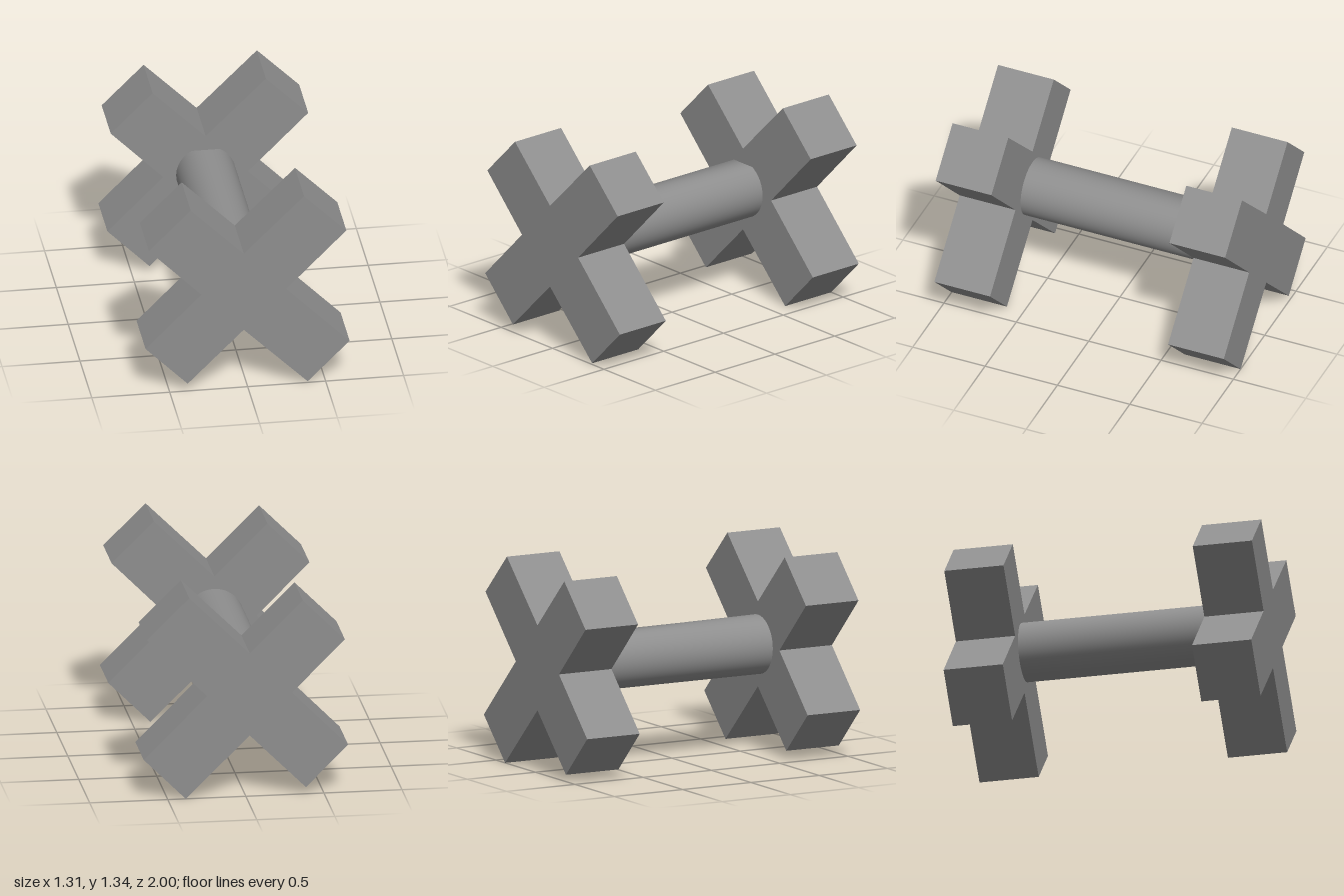
import * as THREE from 'three';

const CENTRE = [-0.024, 0.686];
const HALF_GAP = 0.615; // inner faces of the end blocks

// Cross outline, arms on the diagonals
const OUTLINE = [
  [0.362, 1.343], [-0.025, 0.96], [-0.365, 1.297], [-0.634, 1.027],
  [-0.297, 0.687], [-0.655, 0.325], [-0.385, 0.054], [-0.025, 0.413],
  [0.385, 0.01], [0.654, 0.28], [0.248, 0.686], [0.633, 1.075],
];

function crossBlock(name, z, dy, material) {
  const shape = new THREE.Shape(OUTLINE.map(([x, y]) => new THREE.Vector2(x, y)));
  const geometry = new THREE.ExtrudeGeometry(shape, { depth: 1 - HALF_GAP, bevelEnabled: false });
  const mesh = new THREE.Mesh(geometry, material);
  mesh.name = name;
  mesh.position.set(0, dy, z);
  return mesh;
}

// Round bar whose top is flattened towards the back
function connectingBar(material) {
  const geometry = new THREE.CylinderGeometry(0.19, 0.19, HALF_GAP * 2, 64, 1, true);
  geometry.rotateX(Math.PI / 2);
  geometry.translate(CENTRE[0], CENTRE[1], 0);
  const p = geometry.attributes.position;
  for (let i = 0; i < p.count; i++) {
    if (p.getZ(i) < 0) p.setY(i, Math.min(p.getY(i), 0.853));
  }
  const mesh = new THREE.Mesh(geometry, material);
  mesh.name = 'connectingBar';
  return mesh;
}

export function createModel() {
  const group = new THREE.Group();
  group.name = 'crossEndedBar';
  const material = new THREE.MeshStandardMaterial({ color: 0x8e8e8e });
  group.add(
    crossBlock('frontCross', HALF_GAP, 0, material),
    crossBlock('backCross', -1, -0.008, material),
    connectingBar(material),
  );
  return group;
}
